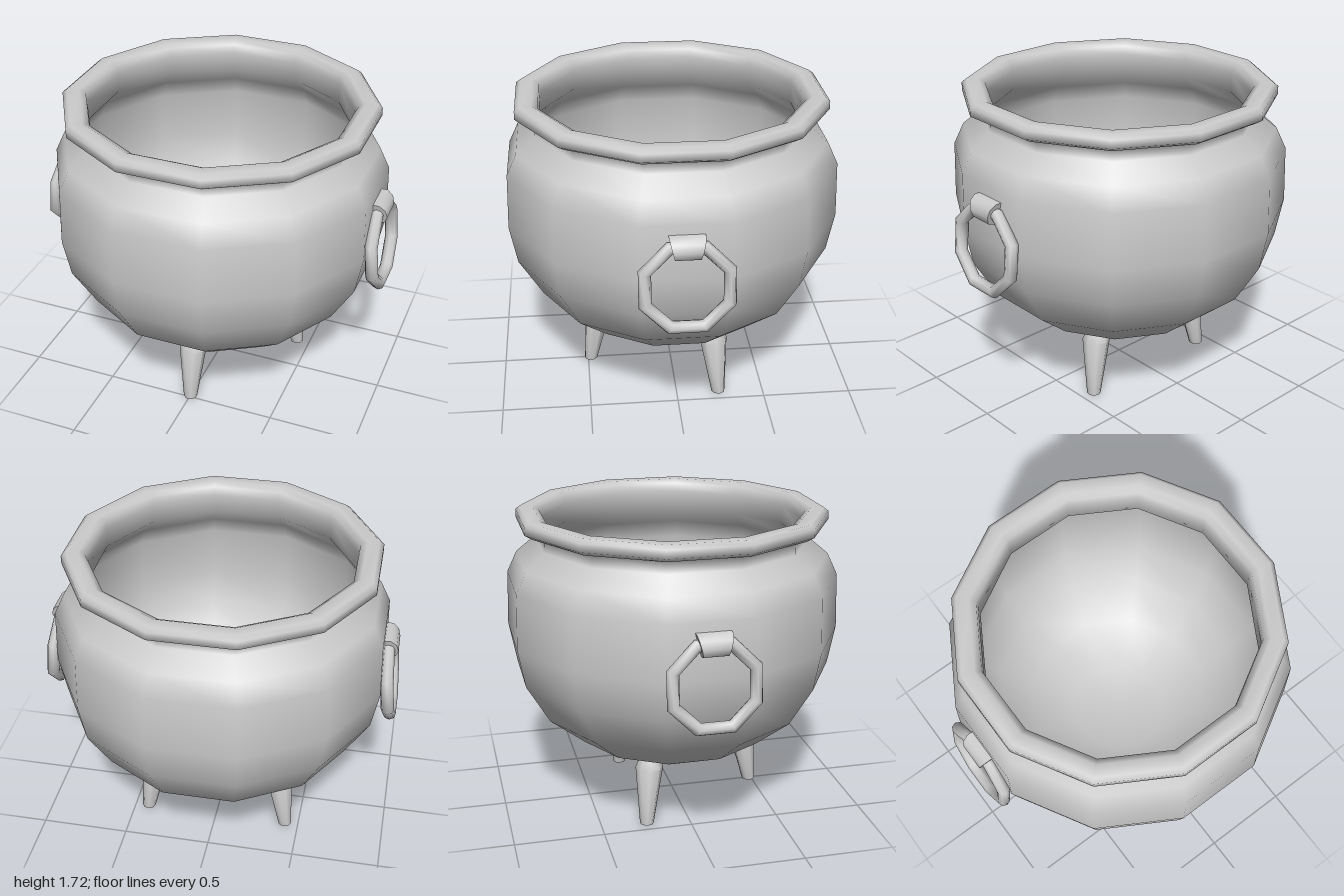
import * as THREE from 'three';
import { toCreasedNormals } from 'three/addons/utils/BufferGeometryUtils.js';

const material = new THREE.MeshStandardMaterial({ color: 0xcccccc });

function part(name, geometry) {
  const mesh = new THREE.Mesh(geometry, material);
  mesh.name = name;
  return mesh;
}

// Twelve-sided pot: outer wall, rolled rim and hollow inside in one profile
function makePot() {
  const profile = [
    [0, 0.28], [0.28, 0.28], [0.54, 0.41], [0.74, 0.58], [0.87, 0.81], [0.91, 1.03],
    [0.9, 1.34], [0.845, 1.46], [0.74, 1.55], [0.735, 1.625],
    [0.8, 1.63], [0.84, 1.655], [0.84, 1.7], [0.815, 1.72],
    [0.75, 1.72], [0.715, 1.7], [0.71, 1.65], [0.71, 1.54],
    [0.8, 1.44], [0.855, 1.33], [0.865, 1.04], [0.825, 0.83], [0.7, 0.62], [0.51, 0.46],
    [0.27, 0.34], [0, 0.34],
  ];
  // Distances are to the flats, so widen them to reach the corners
  const toCorner = 1 / Math.cos(Math.PI / 12);
  const points = profile.map(([r, y]) => new THREE.Vector2(r * toCorner, y));
  return part('pot', new THREE.LatheGeometry(points, 12, Math.PI / 12));
}

// Tapered leg leaning in towards the pot at its top
function makeLeg(angle) {
  const points = [[0, 0], [0.039, 0], [0.078, 0.33], [0.06, 0.38], [0, 0.38]]
    .map(([r, y]) => new THREE.Vector2(r, y));
  let geometry = new THREE.LatheGeometry(points, 8, Math.PI / 8);
  const pos = geometry.attributes.position;
  for (let i = 0; i < pos.count; i++) {
    pos.setZ(i, pos.getZ(i) + 0.484 - 0.16 * pos.getY(i));
  }
  geometry = toCreasedNormals(geometry, 0.9);
  geometry.rotateY(angle);
  return part('leg', geometry);
}

// Hanging ring with the clip that holds it, on the +x side
function makeHandle() {
  const handle = new THREE.Group();
  handle.name = 'handle';

  const ringGeometry = new THREE.TorusGeometry(0.233, 0.036, 8, 8);
  ringGeometry.rotateZ(Math.PI / 8);
  ringGeometry.rotateY(Math.PI / 2);
  const ring = part('ring', ringGeometry);
  ring.position.set(0.946, 1.012, 0);
  ring.rotation.z = 0.1;

  // Rounded clip section, narrowing towards the bottom
  const section = new THREE.Shape([
    [0.87, 1.17], [0.93, 1.165], [0.968, 1.18], [0.98, 1.22],
    [0.968, 1.262], [0.935, 1.288], [0.87, 1.288],
  ].map(([x, y]) => new THREE.Vector2(x, y)));
  const clipGeometry = new THREE.ExtrudeGeometry(section, { depth: 2, bevelEnabled: false });
  const pos = clipGeometry.attributes.position;
  for (let i = 0; i < pos.count; i++) {
    const halfWidth = 0.062 + 0.25 * (pos.getY(i) - 1.165);
    pos.setZ(i, (pos.getZ(i) - 1) * halfWidth);
  }
  handle.add(ring, part('clip', toCreasedNormals(clipGeometry, 1)));
  return handle;
}

export function createModel() {
  const model = new THREE.Group();
  model.name = 'cauldron';
  model.add(makePot());
  for (let i = 0; i < 3; i++) model.add(makeLeg((i * Math.PI * 2) / 3));

  const leftHandle = makeHandle();
  leftHandle.name = 'leftHandle';
  const rightHandle = makeHandle();
  rightHandle.name = 'rightHandle';
  rightHandle.rotation.y = Math.PI;
  model.add(leftHandle, rightHandle);
  return model;
}
